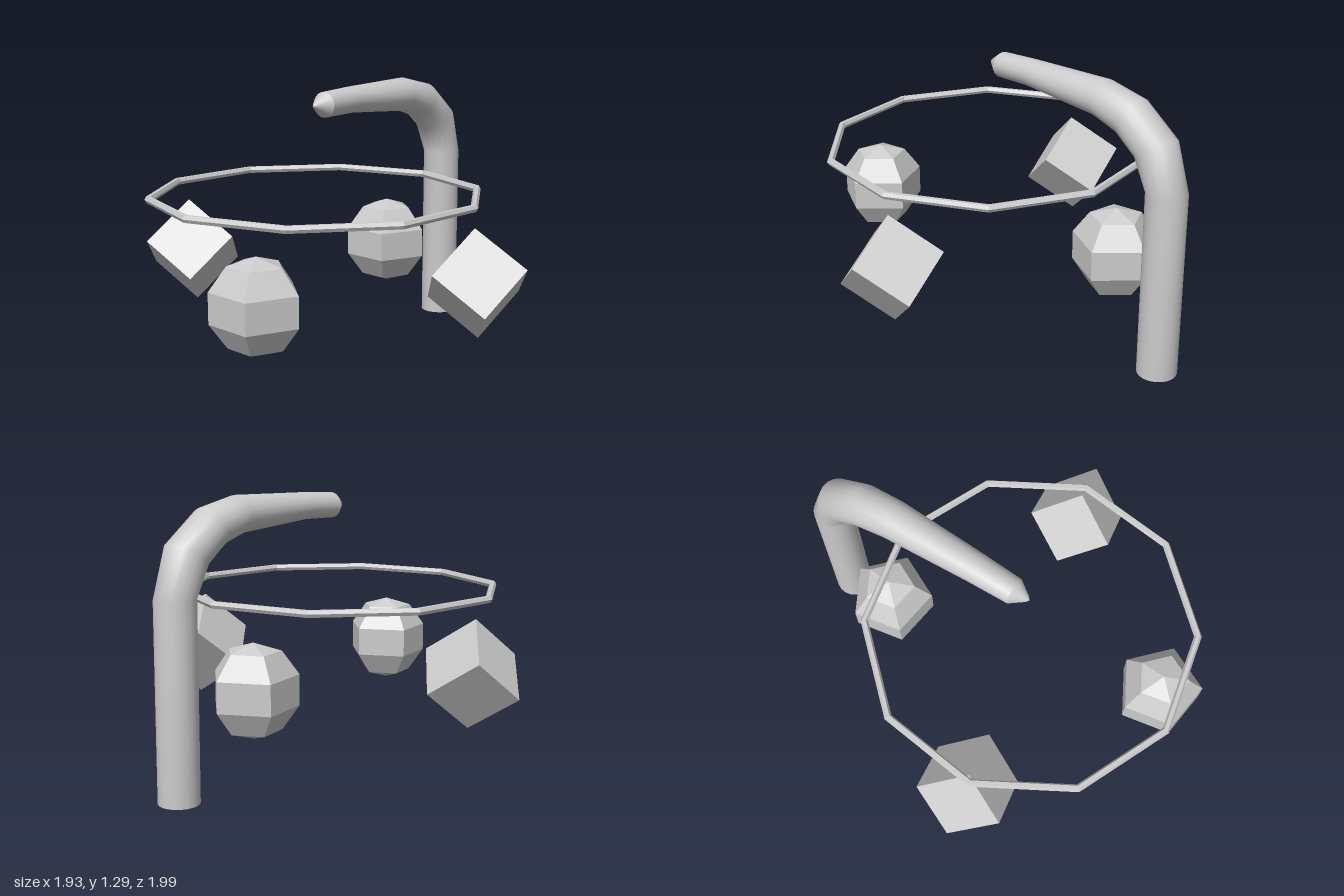
import * as THREE from 'three';

const smooth = new THREE.MeshStandardMaterial({ color: 0xcccccc });
const faceted = new THREE.MeshStandardMaterial({ color: 0xcccccc, flatShading: true });

function part(parent, name, geometry, material, x = 0, y = 0, z = 0) {
  const mesh = new THREE.Mesh(geometry, material);
  mesh.name = name;
  mesh.position.set(x, y, z);
  parent.add(mesh);
  return mesh;
}

// Skin over oval sections: [outer z, outer y, inner z, inner y, half width in x]
function loft(rows, sides = 20) {
  const pos = [], index = [];
  rows.forEach(([oz, oy, iz, iy, rx], j) => {
    for (let k = 0; k < sides; k++) {
      const t = (k / sides) * Math.PI * 2, c = Math.cos(t) / 2;
      pos.push(rx * Math.sin(t), (oy + iy) / 2 + (oy - iy) * c, (oz + iz) / 2 + (oz - iz) * c);
      if (j === 0) continue;
      const n = (k + 1) % sides, a = (j - 1) * sides, b = j * sides;
      index.push(a + k, b + k, a + n, b + k, b + n, a + n);
    }
  });
  const g = new THREE.BufferGeometry();
  g.setAttribute('position', new THREE.Float32BufferAttribute(pos, 3));
  g.setIndex(index);
  g.computeVertexNormals();
  return g;
}

export function createModel() {
  const model = new THREE.Group();
  model.name = 'hangingMobile';

  // Bent support arm: post, bend, tapering boom and pointed end
  const arm = new THREE.Group();
  arm.name = 'supportArm';
  arm.position.x = -0.045;
  model.add(arm);
  const end = [0.10, 1.27, 0.10, 1.15, 0.061];
  part(arm, 'armTube', loft([
    [-1.00, 0, -0.815, 0, 0.092],
    [-1.00, 0.88, -0.815, 0.88, 0.092],
    [-0.925, 1.11, -0.75, 1.01, 0.10],
    [-0.74, 1.25, -0.65, 1.085, 0.097],
    [-0.54, 1.292, -0.52, 1.125, 0.09],
    [-0.10, 1.28, -0.10, 1.155, 0.07],
    end,
  ]), smooth);
  part(arm, 'armTip', loft([
    end,
    [0.165, 1.225, 0.165, 1.195, 0.015],
    [0.177, 1.21, 0.177, 1.21, 0],
  ]), smooth);
  const foot = new THREE.CircleGeometry(0.092, 20).rotateX(Math.PI / 2);
  part(arm, 'armFoot', foot, smooth, 0, 0, -0.907);

  // Ten-sided hoop
  const hoop = new THREE.TorusGeometry(0.77, 0.018, 6, 10).rotateX(Math.PI / 2).rotateY(0.204);
  part(model, 'hoop', hoop, faceted, -0.025, 0.805, 0.182);

  // Five-sided balls, front and back
  const profile = [[0, -0.216], [0.125, -0.178], [0.203, -0.07], [0.203, 0.07], [0.125, 0.178], [0, 0.216]]
    .map(([r, y]) => new THREE.Vector2(r, y));
  const ball = new THREE.LatheGeometry(profile, 5, THREE.MathUtils.degToRad(172.5));
  part(model, 'frontBall', ball, faceted, 0.155, 0.441, 0.81);
  part(model, 'backBall', ball, faceted, -0.145, 0.441, -0.547);

  // Cubes hanging by one corner, left and right
  const tilt = new THREE.Matrix4().makeBasis(
    new THREE.Vector3(0.505, 0.547, 0.67),
    new THREE.Vector3(-0.278, -0.63, 0.724),
    new THREE.Vector3(0.818, -0.552, -0.163));
  const cube = new THREE.BoxGeometry(0.294, 0.294, 0.294).applyMatrix4(tilt);
  part(model, 'leftCube', cube, faceted, 0.732, 0.46, -0.003);
  part(model, 'rightCube', cube, faceted, -0.732, 0.46, 0.287);

  return model;
}
